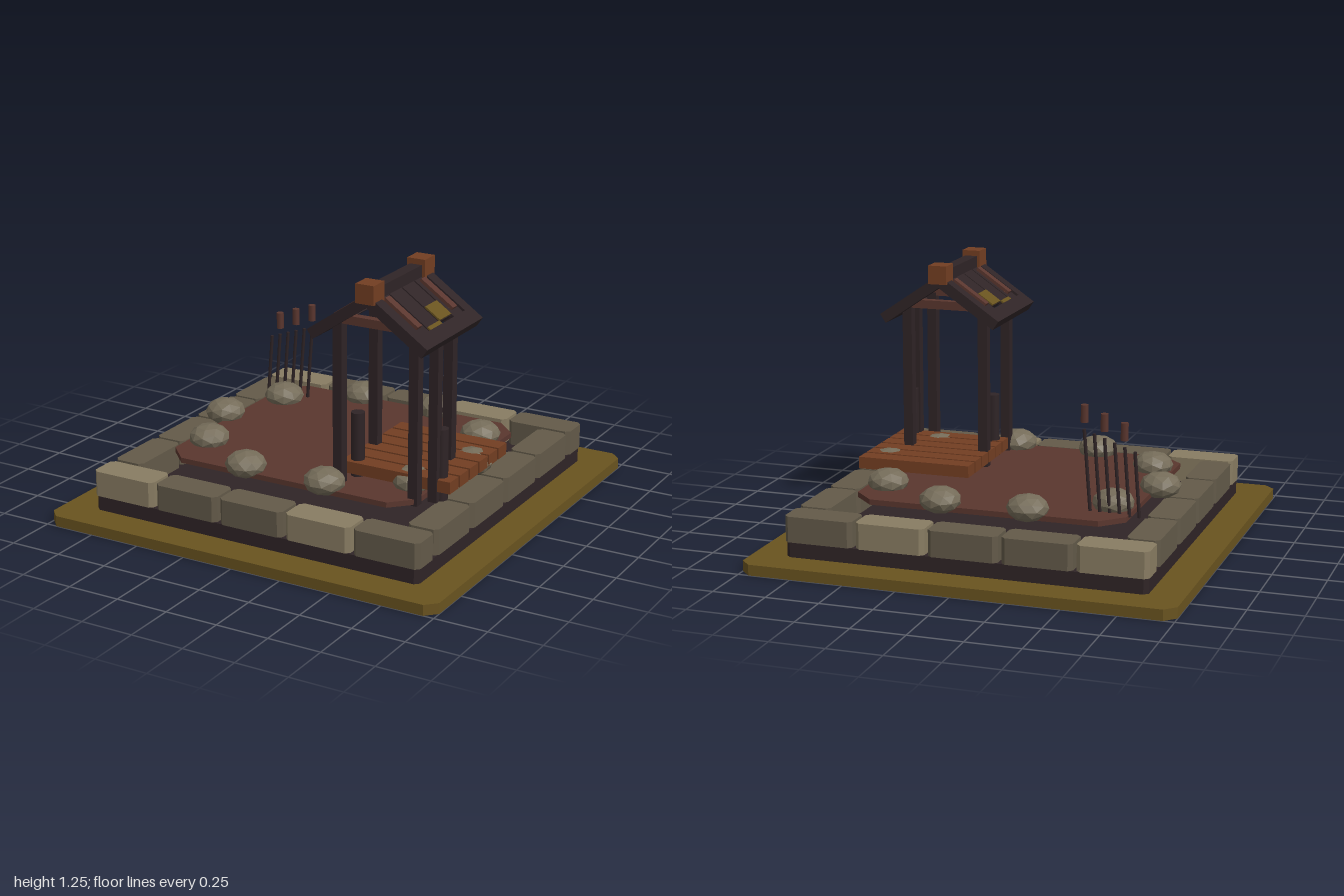
import * as THREE from 'three';

const paint = (name, color) => Object.assign(new THREE.MeshStandardMaterial({ color }), { name });

export function createModel() {
  const olive = paint('olive', 0x69531f);
  const dark = paint('darkTimber', 0x2f2426);
  const earth = paint('redBrown', 0x5a362e);
  const plankBrown = paint('orangeBrown', 0x733e22);
  const stoneLight = paint('lightStone', 0x887c62);
  const stoneDark = paint('darkStone', 0x635a49);
  const rockGrey = paint('rock', 0x756c59);

  const root = new THREE.Group();
  const add = (parent, name, geo, mat, x, y, z) => {
    const m = new THREE.Mesh(geo, mat);
    m.name = name;
    m.position.set(x, y, z);
    parent.add(m);
    return m;
  };
  const group = (name, parent = root) => {
    const g = new THREE.Group();
    g.name = name;
    parent.add(g);
    return g;
  };
  const box = (parent, name, mat, w, h, d, x, y, z) =>
    add(parent, name, new THREE.BoxGeometry(w, h, d), mat, x, y, z);

  // Slab with cut corners, bottom at y = 0
  const slab = (w, d, h, c) => {
    const a = w / 2, b = d / 2;
    const pts = [[-a + c, -b], [a - c, -b], [a, -b + c], [a, b - c], [a - c, b], [-a + c, b], [-a, b - c], [-a, -b + c]];
    const s = new THREE.Shape(pts.map(p => new THREE.Vector2(...p)));
    return new THREE.ExtrudeGeometry(s, { depth: h, bevelEnabled: false }).rotateX(-Math.PI / 2);
  };

  // Ground layers
  add(root, 'groundSlab', slab(2, 2, 0.05, 0.05), olive, 0, 0, 0);
  add(root, 'foundation', slab(1.68, 1.68, 0.07, 0.02), dark, 0, 0.05, 0);
  add(root, 'courtyard', slab(1.28, 1.15, 0.025, 0.1), earth, 0, 0.247, 0);

  // Stone border
  const border = group('stoneBorder');
  for (const s of [-1, 1]) {
    for (let i = 0; i < 5; i++) {
      add(border, 'borderStone', slab(0.325, 0.15, 0.12, 0.02), i % 3 === 0 ? stoneLight : stoneDark,
        (i - 2) * 0.341, 0.12, s * 0.77);
    }
    for (let i = 0; i < 4; i++) {
      add(border, 'borderStone', slab(0.15, 0.325, 0.12, 0.02), stoneDark, s * 0.77, 0.12, (i - 1.5) * 0.341);
    }
  }

  // Ring of rocks
  const rocks = group('rocks');
  const rockMat = rockGrey;
  rockMat.flatShading = true;
  for (let i = 0; i < 10; i++) {
    const a = i * Math.PI / 5;
    const r = add(rocks, 'rock', new THREE.IcosahedronGeometry(0.097, 1), rockMat,
      0.67 * Math.cos(a), 0.297, 0.575 * Math.sin(a) - 0.005);
    r.scale.y = 0.64;
    r.rotation.y = i * 0.7;
  }

  // Plank deck
  const deck = group('deck');
  for (let i = 0; i < 6; i++) {
    box(deck, 'deckPlank', plankBrown, 0.55, 0.056, 0.083, 0.488, 0.321, -0.125 + i * 0.097);
  }

  // Shelter posts
  const cx = 0.43, cz = 0.3;
  const shelter = group('shelter');
  for (const x of [0.241, 0.621]) {
    for (const z of [0.137, 0.463]) box(shelter, 'post', dark, 0.046, 0.8, 0.046, x, 0.64, z);
  }
  box(shelter, 'sidePost', dark, 0.044, 0.74, 0.044, 0.678, 0.61, 0.386);
  for (const x of [0.27, 0.692]) {
    add(shelter, 'bollard', new THREE.CylinderGeometry(0.033, 0.033, 0.335, 8), dark, x, 0.407, 0.35);
  }
  for (const z of [0.137, 0.463]) box(shelter, 'tieBeam', earth, 0.38, 0.04, 0.04, cx, 1.045, z);

  // Roof: each slope is built along local +x, then turned for the other side
  const roof = group('roof', shelter);
  roof.position.set(cx, 1.19, cz);
  const tilt = 0.6, k = Math.cos(tilt);
  for (const s of [-1, 1]) {
    // Piece between horizontal distances r0 and r1 from the ridge, lift measured off the slope
    const slope = (name, mat, r0, r1, lift, h, z, d) => {
      const r = (r0 + r1) / 2;
      const m = box(roof, name, mat, (r1 - r0) / k, h, d,
        s * (r + lift * Math.sin(tilt)), -r * Math.tan(tilt) + lift * k, z);
      m.rotation.z = -s * tilt;
    };
    for (const z of [-0.235, 0.235]) slope('rafter', dark, 0, 0.29, -0.013, 0.05, z, 0.06);
    slope('eaveBeam', dark, 0.23, 0.29, -0.013, 0.05, 0, 0.53);
    for (let i = 0; i < 4; i++) {
      slope('roofPlank', dark, 0.01, i === 1 ? 0.215 : 0.25, -0.01, 0.022, (i - 1.5) * 0.115, 0.106);
    }
    for (const z of [-0.165, 0.165]) slope('roofBatten', earth, 0.04, 0.2, 0.008, 0.016, z, 0.04);
    // Moss patches
    slope('mossPatch', olive, 0.14, 0.213, 0.004, 0.008, -0.0575, 0.108);
    slope('mossPatch', olive, 0.213, 0.248, 0.004, 0.008, 0.0575, 0.108);
  }
  box(roof, 'ridgeBeam', dark, 0.06, 0.06, 0.53, 0, 0.005, 0);
  for (const z of [-0.233, 0.233]) box(roof, 'ridgeCap', plankBrown, 0.09, 0.088, 0.095, 0, 0.017, z);

  // Row of leaning reeds with floating heads over every second one
  const reeds = group('reeds');
  for (let i = 0; i < 6; i++) {
    const top = 0.56 + i * 0.017, h = top - 0.26, x = -0.662 + i * 0.046;
    const stem = add(reeds, 'reedStem', new THREE.CylinderGeometry(0.008, 0.008, h, 6), dark,
      x - 0.013, 0.26 + h / 2, -0.43);
    stem.rotation.z = -0.08;
    if (i % 2) {
      add(reeds, 'reedHead', new THREE.CylinderGeometry(0.018, 0.018, 0.08, 8), earth, x + 0.001, top + 0.071, -0.43);
    }
  }

  return root;
}
